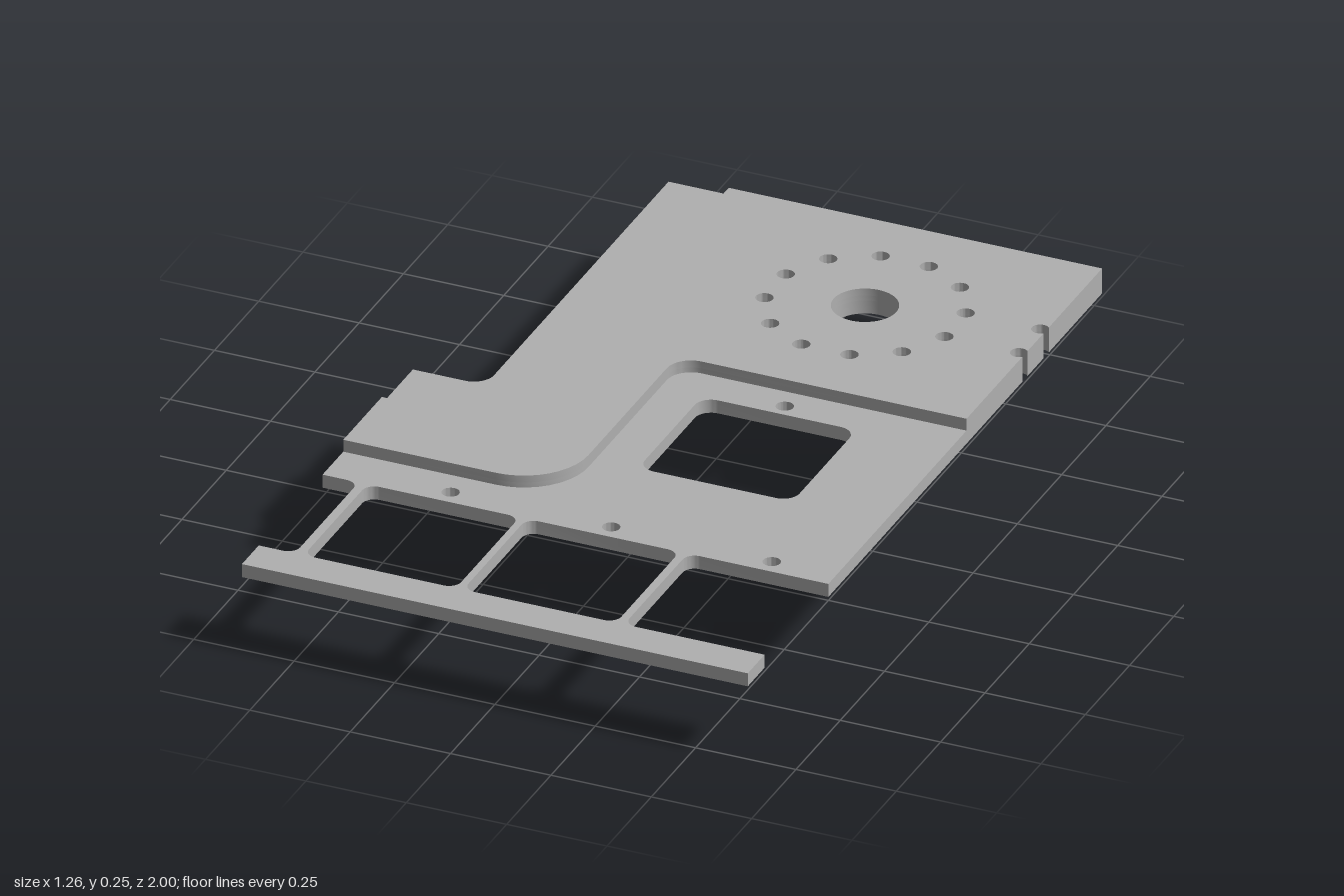
import * as THREE from 'three';
import { toCreasedNormals } from 'three/addons/utils/BufferGeometryUtils.js';

const BOTTOM = 0.19, FLOOR = 0.224, LEDGE = 0.237, TOP = 0.255;
const HOLE = 0.021;

// Outline from [x, z, cornerRadius] entries; rounded corners are right angles.
function outline(corners, Type = THREE.Shape) {
  const pts = [];
  corners.forEach(([x, z, r = 0], i) => {
    const p = new THREE.Vector2(x, -z);
    if (!r) return pts.push(p);
    const toward = ([a, b]) => new THREE.Vector2(a, -b).sub(p).normalize().multiplyScalar(r);
    const u = toward(corners[(i + corners.length - 1) % corners.length]);
    const v = toward(corners[(i + 1) % corners.length]);
    const c = p.clone().add(u).add(v);
    for (let k = 0; k <= 10; k++) {
      const t = (k / 10) * Math.PI / 2;
      pts.push(c.clone().addScaledVector(v, -Math.cos(t)).addScaledVector(u, -Math.sin(t)));
    }
  });
  return new Type(pts);
}

const circle = (x, z, r, Type = THREE.Path) => new Type().absarc(x, -z, r, 0, Math.PI * 2, false);

const rectHole = (x0, x1, z0, z1, r) =>
  outline([[x0, z0, r], [x1, z0, r], [x1, z1, r], [x0, z1, r]], THREE.Path);

// Round hole that breaks through the right-hand edge, walked towards the back
function edgeNotch(z) {
  const cx = 0.615, edge = 0.63, a = Math.acos((edge - cx) / HOLE), pts = [];
  for (let k = 0; k <= 16; k++) {
    const t = a + (k / 16) * (2 * Math.PI - 2 * a);
    pts.push([cx + HOLE * Math.cos(t), z + HOLE * Math.sin(t)]);
  }
  return pts;
}

export function createModel() {
  const group = new THREE.Group();
  const grey = new THREE.MeshStandardMaterial({ color: 0xb0b0b0 });
  grey.name = 'machined grey';

  // Horizontal slab between two heights
  function slab(name, shape, holes, y0, y1) {
    shape.holes.push(...holes);
    const geo = new THREE.ExtrudeGeometry(shape, { depth: y1 - y0, bevelEnabled: false, curveSegments: 24 });
    geo.rotateX(-Math.PI / 2).translate(0, y0, 0);
    const mesh = new THREE.Mesh(toCreasedNormals(geo, 0.6), grey);
    mesh.name = name;
    group.add(mesh);
  }

  // Large bore with a ring of twelve bolt holes
  const boltPattern = () => {
    const holes = [circle(0.205, -0.625, 0.078)];
    for (let i = 0; i < 12; i++) {
      const a = (i + 0.5) * Math.PI / 6;
      holes.push(circle(0.205 + 0.232 * Math.cos(a), -0.625 + 0.232 * Math.sin(a), HOLE));
    }
    return holes;
  };
  const notches = [...edgeNotch(-0.565), ...edgeNotch(-0.685)];

  // Base plate with the strutted front rail
  slab('basePlate', outline([
    [-0.45, -1], [-0.45, 0.035, 0.05], [-0.63, 0.035], [-0.63, 0.545],
    [-0.54, 0.545, 0.03], [-0.54, 0.905, 0.03], [-0.63, 0.905], [-0.63, 1],
    [0.63, 1], [0.63, 0.905], [0.28, 0.905, 0.03], [0.28, 0.545, 0.03],
    [0.63, 0.545], ...notches, [0.63, -1],
  ]), [
    ...boltPattern(),
    rectHole(0.015, 0.4, -0.135, 0.227, 0.04),
    rectHole(-0.518, -0.139, 0.545, 0.905, 0.03),
    rectHole(-0.121, 0.26, 0.545, 0.905, 0.03),
    circle(0.205, -0.172, HOLE),
    ...[-0.33, 0.07, 0.47].map((x) => circle(x, 0.502, HOLE)),
  ], BOTTOM, FLOOR);

  // Raised portion: its front edge sweeps round the lower pocket
  const pocketEdge = [
    [-0.63, 0.428], [-0.09, 0.428, 0.16], [-0.09, -0.235, 0.06], [0.63, -0.235],
  ];
  slab('lowerLedge', outline([
    [-0.45, -1], [-0.45, 0.035, 0.05], [-0.63, 0.035], ...pocketEdge, ...notches, [0.63, -1],
  ]), boltPattern(), FLOOR, LEDGE);
  slab('raisedDeck', outline([
    [-0.3, -1], [-0.3, 0.21, 0.1], [-0.63, 0.21], ...pocketEdge, ...notches, [0.63, -1],
  ]), boltPattern(), LEDGE, TOP);

  // Hollow bosses under the plate
  slab('largeBoss', circle(-0.15, 0.14, 0.068, THREE.Shape), [circle(-0.15, 0.14, 0.034)], 0.045, BOTTOM);
  slab('smallBoss', circle(-0.27, -0.77, 0.031, THREE.Shape), [circle(-0.27, -0.77, 0.015)], 0, BOTTOM);

  return group;
}
